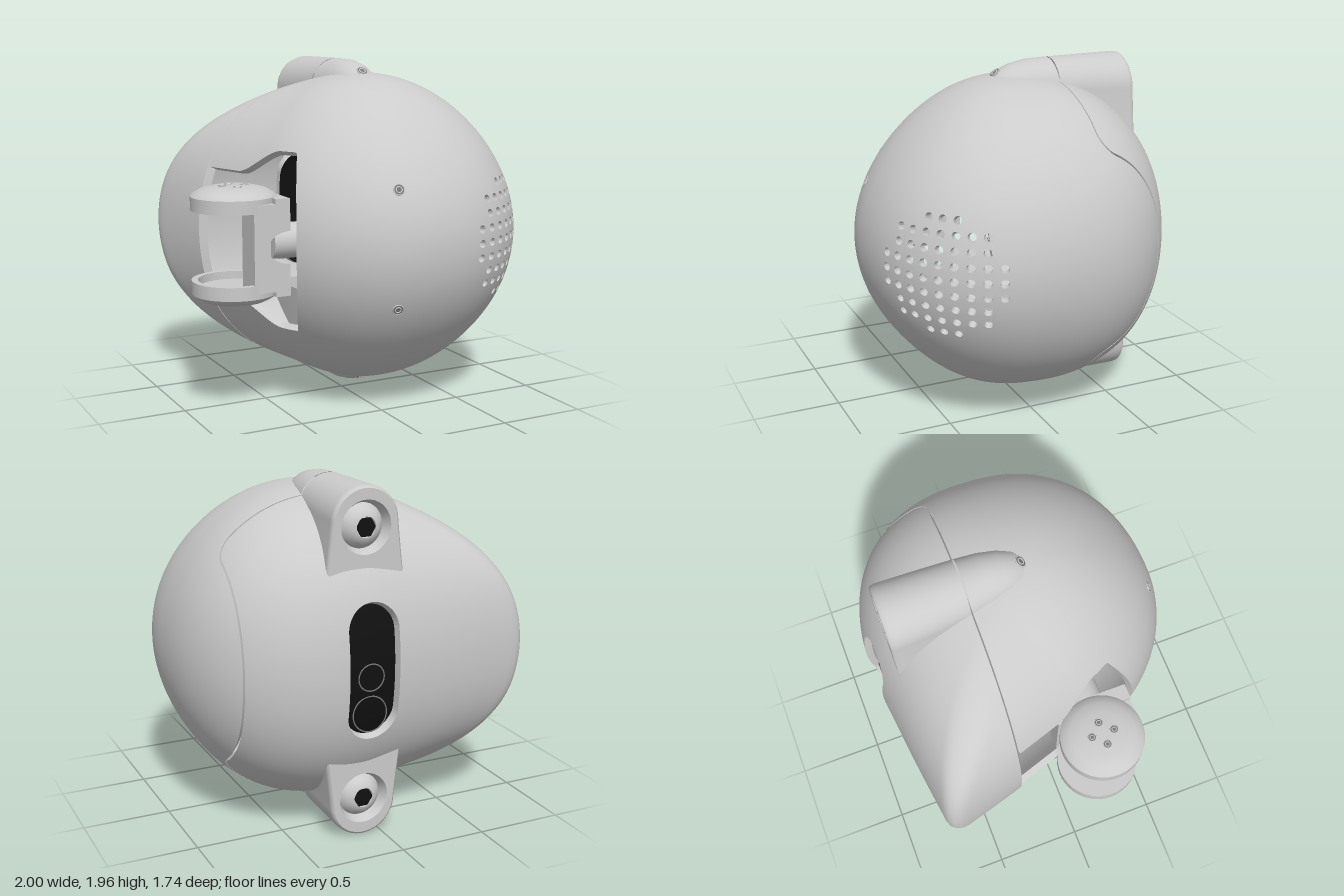
import * as THREE from 'three';
import { mergeVertices, toCreasedNormals } from 'three/addons/utils/BufferGeometryUtils.js';

const C = new THREE.Vector3(0.13, 0.985, 0);      // centre of the shell
const R = 0.87, RY = 0.905;                       // ball radius, half height
const AXIS = Math.atan2(-0.705, -0.98), REACH = 1.268; // direction and distance of the rear corner
const HX = 0.11;                                  // centre line of slot and lugs
const grey = new THREE.MeshStandardMaterial({ color: 0xcccccc, side: THREE.DoubleSide });
const black = new THREE.MeshStandardMaterial({ color: 0x111111, side: THREE.DoubleSide });
const dim = new THREE.MeshStandardMaterial({ color: 0x777777, side: THREE.DoubleSide });

function add(parent, name, geo, mat = grey, x = 0, y = 0, z = 0) {
  const m = new THREE.Mesh(geo, mat);
  m.name = name;
  m.position.set(x, y, z);
  parent.add(m);
  return m;
}
const lathe = (pts, seg = 48) =>
  toCreasedNormals(new THREE.LatheGeometry(pts.map(p => new THREE.Vector2(...p)), seg), 0.5);
const box = (x0, x1, y0, y1, z0, z1) =>
  new THREE.BoxGeometry(x1 - x0, y1 - y0, z1 - z0).translate((x0 + x1) / 2, (y0 + y1) / 2, (z0 + z1) / 2);
const angleTo = (a, b) => Math.abs(Math.atan2(Math.sin(a - b), Math.cos(a - b)));

// Plan outline: a large round joined by tangents to a small one (radius tip) at the rear corner
function plan(a, reach, tip) {
  const f = angleTo(a, AXIS), c = Math.cos(a), s = Math.sin(a), D = reach - tip;
  const side = angleTo(a, 2.88);
  const dip = 1 - (side < 1.3 ? 0.065 * Math.cos(side * Math.PI / 2.6) ** 2 : 0);
  if (c > 0) {
    const n = s < 0 ? 2.35 : 2.25;
    return R * (c ** n + Math.abs(s) ** n) ** (-1 / n);
  }
  const b = Math.acos(Math.min((R - tip) / D, 1));
  if (f >= b) return R * dip;
  if (f > Math.atan2(tip * Math.sin(b), D + tip * Math.cos(b))) return R * dip / Math.cos(f - b);
  return dip * (D * Math.cos(f) + Math.sqrt(tip * tip - (D * Math.sin(f)) ** 2));
}
// Height slices shrink like a ball; the corner fades and softens upward and the crown leans back
function surf(a, lat) {
  const s = Math.sin(a), t = Math.sin(lat) ** 2;
  const lean = Math.sin(2 * lat) ** 2 * -s * (s > 0 ? 0.035 : 0.045);
  const r = plan(a, REACH * (1 - 0.35 * t * t), 0.07 + 0.28 * t) * Math.cos(lat) * (1 + lean);
  return new THREE.Vector3(C.x + r * Math.cos(a), C.y + RY * Math.sin(lat) * (1 + lean), r * s);
}
const inset = (p, k) => C.clone().lerp(p, k);

// Cutting functions: negative inside the region
function backRegion(p) {
  const r = 0.08, qx = p.x - 0.77 + r, qz = p.z + 0.28 + r;
  return Math.min(Math.max(qx, qz), 0) + Math.hypot(Math.max(qx, 0), Math.max(qz, 0)) - r;
}
function slot(p) {
  const dy = Math.max(Math.abs(p.y - C.y) - 0.23, 0);
  return p.z > 0 ? 1 : Math.hypot(p.x - HX, dy) - 0.15;
}
function sideOpening(p) {
  const y = Math.abs(p.y - C.y);
  const h = 0.37 + 0.13 * THREE.MathUtils.smoothstep(p.z, -0.02, 0.24);
  return Math.max(y - h, p.z - 0.5 + 0.64 * y * y, p.x + 0.2);
}

// Shell surface, kept where keep(p) > 0, with an inward wall along every cut
function shell(parent, name, keep, mat = grey, scale = 1, holes = false) {
  const skin = [], wall = [], N = 4, COLS = 64, ROWS = 35, depth = 0.95;
  const push = (out, ...ps) => ps.forEach(p => out.push(p.x, p.y, p.z));
  const strip = (p, q) => {
    const a = inset(p, depth), b = inset(q, depth);
    push(wall, p, q, b, p, b, a);
  };
  function tri(...t) {
    const v = t.map(keep), poly = [], cut = [];
    for (let i = 0; i < 3; i++) {
      const j = (i + 1) % 3;
      if (v[i] > 0) poly.push(t[i]);
      if (v[i] > 0 !== v[j] > 0) {
        const p = t[i].clone().lerp(t[j], v[i] / (v[i] - v[j]));
        poly.push(p);
        cut.push(p);
      }
    }
    for (let i = 2; i < poly.length; i++)
      push(skin, ...[poly[0], poly[i - 1], poly[i]].map(p => inset(p, scale)));
    if (cut.length === 2 && scale === 1) strip(cut[0], cut[1]);
  }
  const quad = (a, b, c, d) => { tri(a, b, c); tri(a, c, d); };
  for (let I = -4; I < COLS - 4; I++) for (let J = 0; J < ROWS; J++) {
    const j = J - 17;
    const at = (u, v) => surf(0.815 + (I + u - 0.5) * 2 * Math.PI / COLS, (j + v - 0.5) * Math.PI / ROWS);
    if (holes && Math.abs(I) <= 4 && Math.abs(j) <= 4 && I * I + j * j <= 18) {
      // speaker hole: ring of faces from the cell border to a circle
      const rim = [];
      for (let s = 0; s < 4; s++) for (let k = 0; k < N; k++) {
        const e = k / N - 0.5;
        rim.push([[-0.5, e], [e, 0.5], [0.5, -e], [-e, -0.5]][s]);
      }
      const outer = rim.map(([u, v]) => at(u + 0.5, v + 0.5));
      const inner = rim.map(([u, v]) => {
        const l = 0.28 / Math.hypot(u, v);
        return at(0.5 + u * l, 0.5 + v * l);
      });
      for (let i = 0; i < rim.length; i++) {
        const n = (i + 1) % rim.length;
        quad(outer[i], outer[n], inner[n], inner[i]);
        strip(inner[i], inner[n]);
      }
      continue;
    }
    for (let m = 0; m < N; m++) for (let n = 0; n < N; n++) {
      const u = m / N, v = n / N, s = 1 / N;
      quad(at(u, v), at(u, v + s), at(u + s, v + s), at(u + s, v));
    }
  }
  const make = arr => new THREE.BufferGeometry().setAttribute('position', new THREE.Float32BufferAttribute(arr, 3));
  const g = mergeVertices(make(skin), 1e-5);
  g.computeVertexNormals();
  add(parent, name, g, mat);
  if (wall.length) {
    const w = make(wall);
    w.computeVertexNormals();
    add(parent, name + 'Edge', w, mat);
  }
}

// Lug cross-section: round top flaring to a wide foot
function lugShape(w, r, top) {
  const s = new THREE.Shape();
  s.moveTo(w, 0.45);
  s.quadraticCurveTo(r + 0.02, 0.6, r, top - r);
  s.absarc(0, top - r, r, 0, Math.PI, false);
  s.quadraticCurveTo(-r - 0.02, 0.6, -w, 0.45);
  return s;
}
function loft(stations) {
  const pos = [], idx = [];
  let n = 0;
  stations.forEach(([z, w, r, top], k) => {
    const pts = lugShape(w, r, top).getPoints(14);
    n = pts.length;
    pts.forEach(p => pos.push(p.x, p.y, z));
    if (k) for (let i = 0; i < n - 1; i++) {
      const a = (k - 1) * n + i, b = a + n;
      idx.push(a, a + 1, b, b, a + 1, b + 1);
    }
  });
  const g = new THREE.BufferGeometry().setAttribute('position', new THREE.Float32BufferAttribute(pos, 3));
  g.setIndex(idx);
  g.computeVertexNormals();
  return g;
}
// Small round screw hole facing +z
function screwHole(parent, name, x, y, z, r) {
  const g = new THREE.Group();
  g.name = name;
  g.position.set(x, y, z);
  add(g, 'rim', new THREE.TorusGeometry(r, r * 0.12, 8, 24));
  add(g, 'recess', new THREE.CircleGeometry(r, 24), dim, 0, 0, 0.002);
  add(g, 'innerRing', new THREE.TorusGeometry(r * 0.55, r * 0.12, 8, 20), grey, 0, 0, 0.002);
  parent.add(g);
  return g;
}

export function createModel() {
  const model = new THREE.Group();

  shell(model, 'frontShell', p => Math.min(backRegion(p) - 0.004, sideOpening(p)), grey, 1, true);
  shell(model, 'backShell', p => Math.min(-backRegion(p) - 0.004, slot(p)));
  shell(model, 'slotWindow', p => 0.02 - slot(p), black, 0.93);
  add(model, 'largeLens', new THREE.TorusGeometry(0.1, 0.004, 6, 40), dim, HX, 0.74, -0.8);
  add(model, 'smallLens', new THREE.TorusGeometry(0.075, 0.004, 6, 40), dim, HX, 0.95, -0.815);

  for (const side of [1, -1]) {
    // Mounting lug with a recessed socket in its rear face
    const lug = new THREE.Group();
    lug.name = side > 0 ? 'topLug' : 'bottomLug';
    lug.position.set(HX, C.y, 0);
    lug.scale.y = side;
    add(lug, 'lugBack', loft([[-0.738, 0.22, 0.18, 0.965], [-0.73, 0.23, 0.19, 0.976], [-0.71, 0.235, 0.195, 0.98],
      [-0.5, 0.22, 0.185, 0.98], [-0.284, 0.2, 0.17, 0.98]]));
    add(lug, 'lugFront', loft([[-0.276, 0.2, 0.17, 0.98], [-0.15, 0.18, 0.155, 0.978], [-0.05, 0.16, 0.135, 0.96],
      [0.03, 0.14, 0.11, 0.93], [0.1, 0.1, 0.07, 0.87]]));
    const face = lugShape(0.22, 0.18, 0.965);
    face.holes.push(new THREE.Path().absarc(0, 0.76, 0.145, 0, 2 * Math.PI, true));
    add(lug, 'lugFace', new THREE.ShapeGeometry(face, 24), grey, 0, 0, -0.738);
    const socket = add(lug, 'socket', lathe([[0.145, 0], [0.128, 0.035], [0.122, 0.06], [0.116, 0.05], [0.095, 0.022],
      [0.07, 0.004], [0.056, 0], [0.054, 0.08]]), grey, 0, 0.76, -0.738);
    socket.rotation.x = Math.PI / 2;
    add(lug, 'hexRecess', new THREE.CircleGeometry(0.058, 6), black, 0, 0.76, -0.732);
    screwHole(lug, 'lugScrewHole', 0, 0.916, 0.05, 0.032).rotation.x = -0.9;
    model.add(lug);

    // Screw hole in the front of the shell
    const hole = screwHole(model, 'frontScrewHole', 0, 0, 0, 0.03);
    hole.position.copy(surf(1.805, side * 0.375));
    hole.lookAt(hole.position.clone().multiplyScalar(2).sub(C));
  }

  // Hinge: two facing caps joined by a spine
  const hinge = new THREE.Group();
  hinge.name = 'hinge';
  hinge.position.set(-0.765, C.y, 0.2);
  model.add(hinge);
  for (const side of [1, -1]) {
    const arm = new THREE.Group();
    arm.name = side > 0 ? 'upperArm' : 'lowerArm';
    arm.scale.y = side;
    add(arm, 'cap', lathe([[0, 0.325], [0.12, 0.322], [0.18, 0.308], [0.222, 0.285], [0.235, 0.27], [0.235, 0.195],
      [0.2, 0.195], [0.2, 0.24], [0, 0.24]]));
    add(arm, 'capCorner', box(0.15, 0.235, 0.195, 0.268, 0.0, 0.23));
    for (let i = 0; i < 4; i++) {
      const a = i * Math.PI / 2;
      const s = screwHole(arm, 'capHole', 0.065 * Math.cos(a), 0.325, 0.065 * Math.sin(a), 0.022);
      s.rotation.x = -Math.PI / 2;
    }
    hinge.add(arm);
  }
  const spine = new THREE.Shape();
  spine.moveTo(0.025, -0.24);
  spine.lineTo(0.235, -0.24);
  spine.lineTo(0.235, -0.09);
  spine.absellipse(0.235, 0, 0.13, 0.09, -Math.PI / 2, -Math.PI * 1.5, true);
  spine.lineTo(0.235, 0.24);
  spine.lineTo(0.025, 0.24);
  add(hinge, 'spine', new THREE.ExtrudeGeometry(spine, { depth: 0.17, bevelEnabled: false, curveSegments: 20 }),
    grey, 0, 0, 0.06);
  add(hinge, 'spineSide', box(0.15, 0.235, -0.24, 0.24, -0.2, 0.07));
  const pin = add(hinge, 'pivotPin', new THREE.CylinderGeometry(0.1, 0.1, 0.2, 32), grey, 0.29, 0, 0.03);
  pin.rotation.z = Math.PI / 2;
  return model;
}
